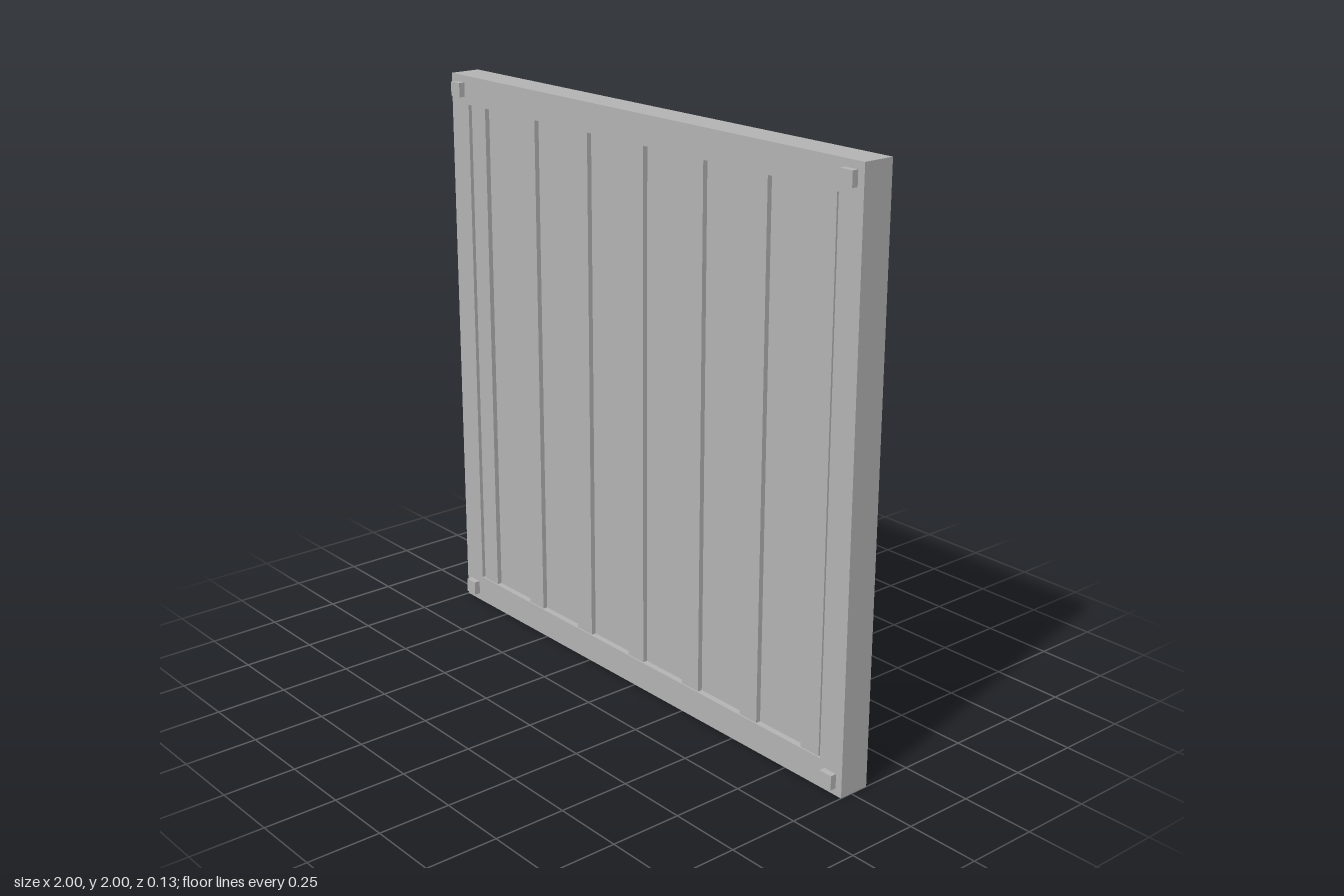
import * as THREE from 'three';

export function createModel() {
  const model = new THREE.Group();
  model.name = 'slattedPanel';
  const grey = new THREE.MeshStandardMaterial({ color: 0xb4b4b4 });
  grey.name = 'plainGrey';

  const back = -0.067, front = 0.045, peg = 0.022;
  const middle = (front + back) / 2, depth = front - back;
  const openX = 0.903, openY = 0.9;

  const add = (name, geometry, x, y, z) => {
    const mesh = new THREE.Mesh(geometry, grey);
    mesh.name = name;
    mesh.position.set(x, y, z);
    model.add(mesh);
  };

  // outer frame with a rectangular opening
  const outline = new THREE.Shape([[-1, -1], [1, -1], [1, 1], [-1, 1]].map(p => new THREE.Vector2(...p)));
  outline.holes.push(new THREE.Path(
    [[-openX, -openY], [-openX, openY], [openX, openY], [openX, -openY]].map(p => new THREE.Vector2(...p))));
  add('frame', new THREE.ExtrudeGeometry(outline, { depth, bevelEnabled: false }), 0, 1, back);

  // recessed sheet filling the opening
  add('sheet', new THREE.BoxGeometry(2 * openX, 2 * openY, depth - 0.044), 0, 1, middle);

  // seven upright slats, standing proud of the sheet on both sides
  const slat = new THREE.BoxGeometry(0.08, 2 * openY, depth - 0.01);
  for (let i = -3; i <= 3; i++) add('slat', slat, i * 0.284, 1, middle);

  // small square pegs on the front corners
  const pegBox = new THREE.BoxGeometry(0.05, 0.05, peg);
  for (const x of [-0.95, 0.95])
    for (const y of [0.05, 1.95]) add('cornerPeg', pegBox, x, y, front + peg / 2);

  return model;
}
